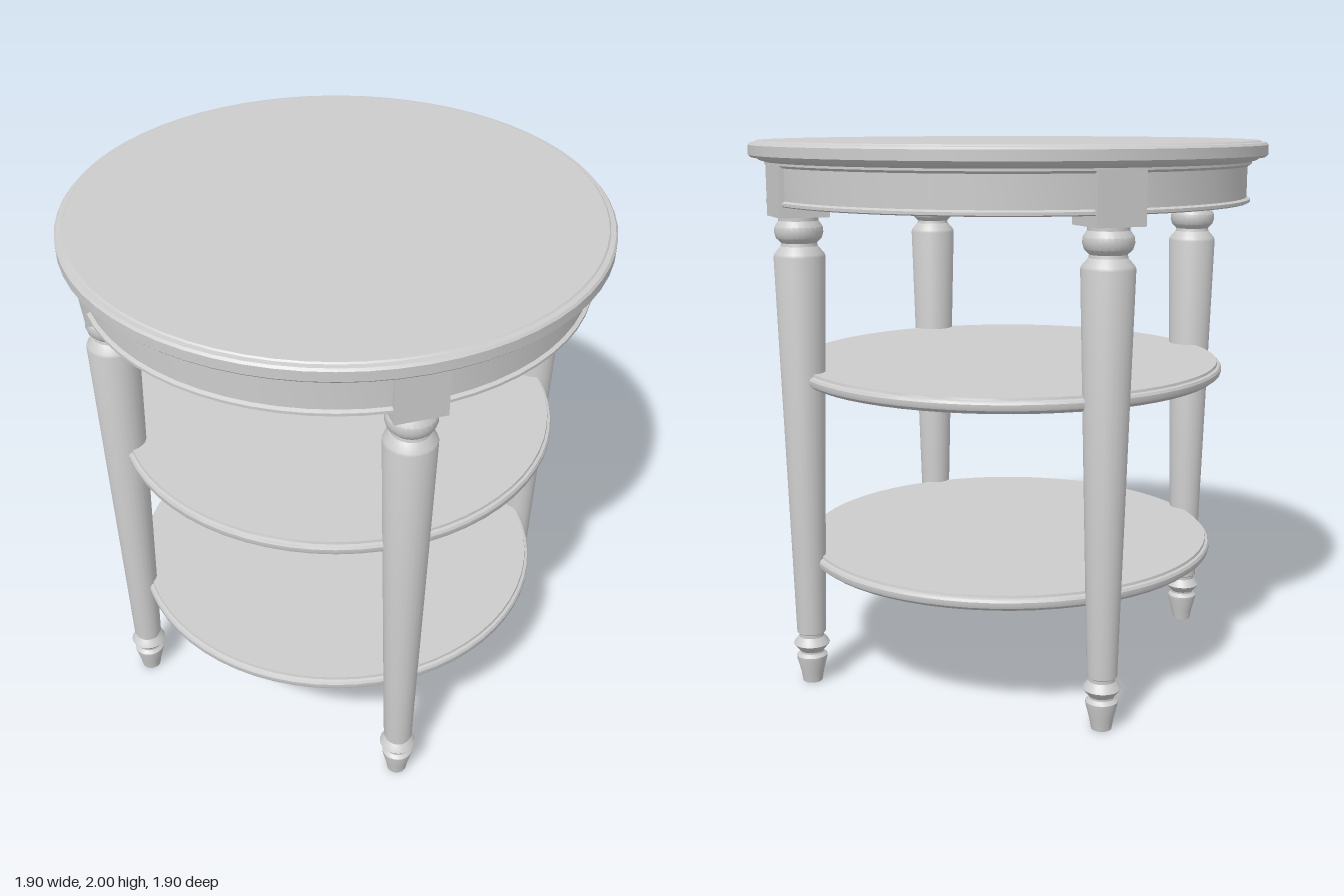
import * as THREE from 'three';
import { toCreasedNormals } from 'three/addons/utils/BufferGeometryUtils.js';

export function createModel() {
  const table = new THREE.Group();
  table.name = 'roundTieredTable';
  const paint = new THREE.MeshStandardMaterial({ color: 0xcccccc });
  paint.name = 'pale grey paint';

  const add = (parent, name, geometry) => {
    const mesh = new THREE.Mesh(geometry, paint);
    mesh.name = name;
    parent.add(mesh);
    return mesh;
  };

  // Turned part from [radius, height] pairs, listed upwards along the outside
  const turned = (profile, segments) => toCreasedNormals(
    new THREE.LatheGeometry(profile.map(([r, y]) => new THREE.Vector2(r, y)), segments), 0.5);

  // Round top with a stepped moulded edge
  add(table, 'tableTop', turned([
    [0, 1.91], [0.885, 1.91], [0.895, 1.918], [0.895, 1.926], [0.915, 1.932], [0.925, 1.942],
    [0.944, 1.942], [0.952, 1.95], [0.952, 1.985], [0.945, 1.993], [0.928, 1.995],
    [0.923, 2], [0, 2],
  ], 64));

  // Hollow apron ring with a bead along its lower edge
  add(table, 'apron', turned([
    [0.83, 1.915], [0.83, 1.778], [0.885, 1.778], [0.893, 1.782], [0.893, 1.792],
    [0.88, 1.798], [0.88, 1.915],
  ], 64));

  // Two shelves with rounded edges
  const addShelf = (name, radius, bottom) => add(table, name, turned([
    [0, 0], [radius - 0.02, 0], [radius - 0.012, 0.008], [radius - 0.003, 0.013],
    [radius, 0.022], [radius, 0.034], [radius - 0.005, 0.043], [radius - 0.015, 0.046],
    [radius - 0.017, 0.055], [0, 0.055],
  ], 64)).position.setY(bottom);
  addShelf('upperShelf', 0.81, 1.13);
  addShelf('lowerShelf', 0.785, 0.44);

  // Tapered turned leg with a square block at its head
  const legGeometry = turned([
    [0, 0], [0.036, 0], [0.042, 0.035], [0.056, 0.09], [0.057, 0.103], [0.044, 0.115],
    [0.044, 0.122], [0.06, 0.14], [0.067, 0.15], [0.06, 0.162], [0.046, 0.178],
    [0.046, 0.19], [0.053, 0.195], [0.091, 1.6], [0.088, 1.61], [0.065, 1.637],
    [0.063, 1.648], [0.08, 1.665], [0.086, 1.685], [0.084, 1.705], [0.07, 1.726],
    [0.07, 1.75], [0, 1.75],
  ], 24);
  const blockGeometry = new THREE.BoxGeometry(0.178, 0.18, 0.178);

  ['rightLeg', 'frontLeg', 'leftLeg', 'backLeg'].forEach((name, i) => {
    const angle = (i - 1) * Math.PI / 2;
    const leg = new THREE.Group();
    leg.name = name;
    leg.position.set(0.806 * Math.sin(angle), 0, 0.806 * Math.cos(angle));
    add(leg, 'turnedPost', legGeometry);
    add(leg, 'headBlock', blockGeometry).position.y = 1.83;
    table.add(leg);
  });

  return table;
}
